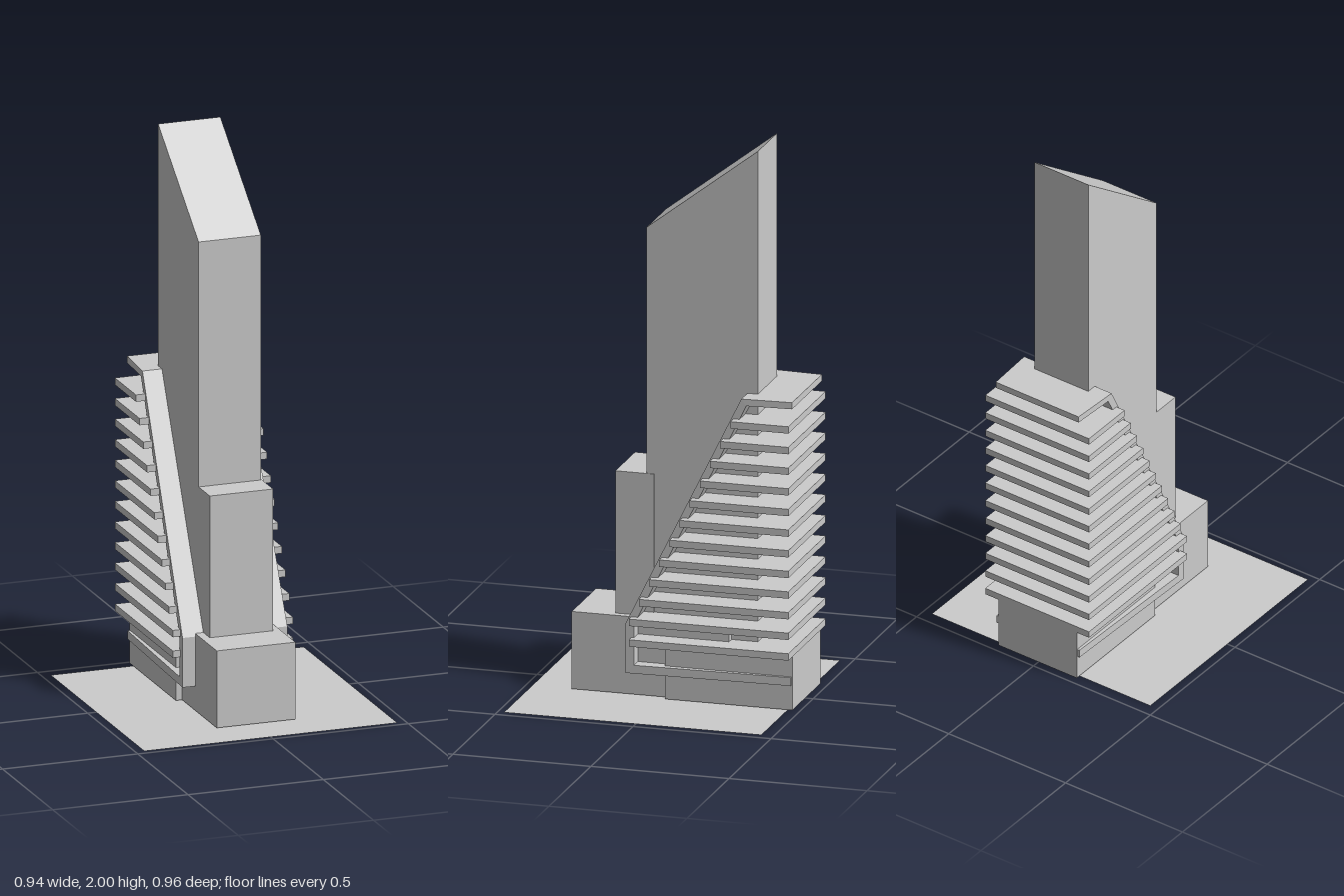
import * as THREE from 'three';

const material = new THREE.MeshStandardMaterial({ color: 0xcccccc, flatShading: true });

// Box given by its limits on each axis
function block(name, [x0, x1], [y0, y1], [z0, z1]) {
  const mesh = new THREE.Mesh(new THREE.BoxGeometry(x1 - x0, y1 - y0, z1 - z0), material);
  mesh.position.set((x0 + x1) / 2, (y0 + y1) / 2, (z0 + z1) / 2);
  mesh.name = name;
  return mesh;
}

// Side profile of [z, y] points, extruded across x and centred
function profile(points, halfWidth) {
  const shape = new THREE.Shape(points.map(([z, y]) => new THREE.Vector2(z, y)));
  const geometry = new THREE.ExtrudeGeometry(shape, { depth: 2 * halfWidth, bevelEnabled: false });
  return geometry.translate(0, 0, -halfWidth).rotateY(-Math.PI / 2);
}

export function createModel() {
  const model = new THREE.Group();
  model.name = 'skyscraper';

  // Flat site
  const ground = new THREE.Mesh(
    new THREE.PlaneGeometry(0.935, 0.932).rotateX(-Math.PI / 2),
    new THREE.MeshStandardMaterial({ color: 0xcccccc, side: THREE.DoubleSide })
  );
  ground.position.z = 0.011;
  ground.name = 'ground';
  model.add(ground);

  // Main tower with its slanted roof
  const tower = new THREE.Mesh(
    profile([[-0.335, 0.005], [0.068, 0.005], [0.068, 1.69], [-0.335, 2]], 0.115), material);
  tower.name = 'tower';
  model.add(tower);

  // Stepped volumes in front and the base behind
  model.add(
    block('frontStep', [-0.115, 0.119], [0.2, 0.8], [0.04, 0.18]),
    block('entranceBlock', [-0.145, 0.145], [0.005, 0.285], [-0.24, 0.33]),
    block('rearBase', [-0.168, 0.168], [0.005, 0.225], [-0.476, -0.015])
  );

  // Folded band: bottom, short front, long slope and top, narrowing to the back
  const band = profile([
    [-0.473, 0.095], [0.12, 0.095], [0.12, 0.275], [-0.297, 1.121], [-0.478, 1.121],
    [-0.478, 1.097], [-0.315, 1.097], [0.09, 0.272], [0.09, 0.125], [-0.473, 0.125]
  ], 1);
  const p = band.attributes.position;
  for (let i = 0; i < p.count; i++) {
    const t = p.getZ(i) + 0.3;
    p.setX(i, p.getX(i) * (0.187 + t * (t > 0 ? 0.016 : 0.055)));
  }
  band.computeVertexNormals();
  const foldedBand = new THREE.Mesh(band, material);
  foldedBand.name = 'foldedBand';
  model.add(foldedBand);

  // Projecting floors, set back step by step along the slope
  const floors = new THREE.Group();
  floors.name = 'floors';
  for (let i = 0; i < 12; i++) {
    const y = 0.2 + i * 0.0747;
    const front = 0.1 - Math.max(0, i - 1) * 0.0368;
    floors.add(block('floor', [-0.222, 0.222], [y, y + 0.025], [-0.478, front]));
  }
  model.add(floors);

  return model;
}
